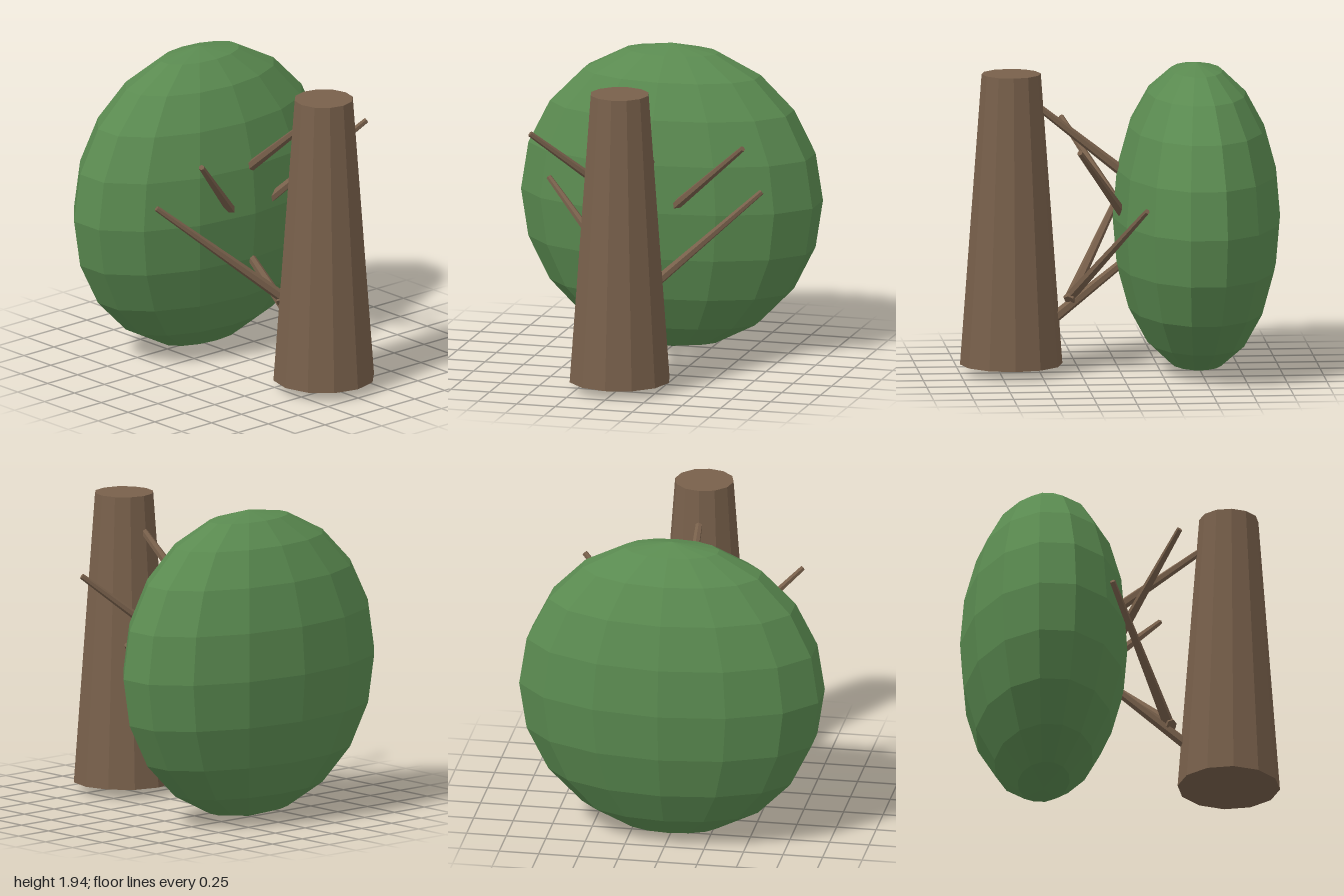
import * as THREE from 'three';

export function createModel() {
  const group = new THREE.Group();
  const bark = new THREE.MeshStandardMaterial({ color: 0x78604b, flatShading: true });
  bark.name = 'bark brown';
  const leaf = new THREE.MeshStandardMaterial({ color: 0x5a8a50, flatShading: true });
  leaf.name = 'leaf green';

  function add(name, geometry, material) {
    const mesh = new THREE.Mesh(geometry, material);
    mesh.name = name;
    group.add(mesh);
    return mesh;
  }

  // Tapered trunk
  add('trunk', new THREE.CylinderGeometry(0.185, 0.32, 1.83, 12), bark)
    .position.set(0, 0.975, 0.68);

  // Flattened faceted foliage, ring corners on the z axis
  const crown = new THREE.SphereGeometry(1, 14, 10);
  crown.rotateY(Math.PI / 2);
  crown.scale(0.97, 0.972, 0.523);
  add('foliage', crown, leaf).position.set(0, 0.975, -0.477);

  // Thin branches, thick at the base and slim at the tip
  const up = new THREE.Vector3(0, 1, 0);
  function branch(name, base, tip) {
    const a = new THREE.Vector3(...base);
    const b = new THREE.Vector3(...tip);
    const dir = b.clone().sub(a);
    const mesh = add(name, new THREE.CylinderGeometry(0.018, 0.036, dir.length(), 6), bark);
    mesh.position.copy(a).add(b).multiplyScalar(0.5);
    mesh.quaternion.setFromUnitVectors(up, dir.normalize());
  }
  branch('upperCentreBranch', [0, 1.18, -0.12], [0, 1.83, 0.7]);
  branch('lowerCentreBranch', [0, 0.34, 0.42], [0, 1.0, -0.4]);
  for (const [side, s] of [['left', 1], ['right', -1]]) {
    branch(side + 'UpperBranch', [-0.03 * s, 0.85, -0.12], [0.69 * s, 1.5, 0.31]);
    branch(side + 'LowerBranch', [-0.03 * s, 0.46, 0.32], [0.69 * s, 1.125, -0.11]);
  }
  return group;
}
